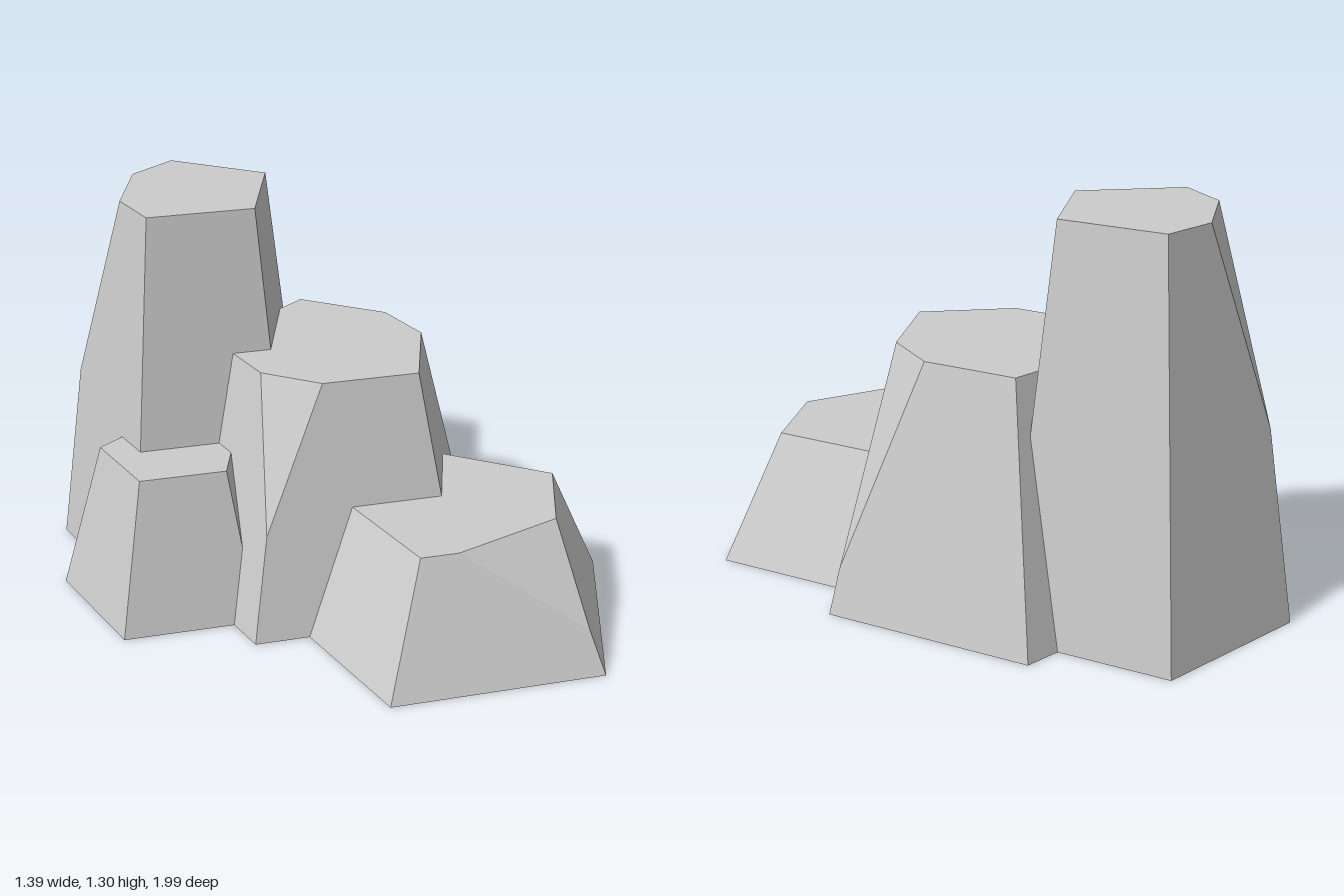
import * as THREE from 'three';
import { ConvexGeometry } from 'three/addons/geometries/ConvexGeometry.js';

const SIDES = 5;
const TOP_SHIFT = 0.014; // tops lean slightly towards the front

// Pentagon ring, corner 0 at the front, then round by the +x side
function ring(x, y, z, r) {
  return Array.from({ length: SIDES }, (_, k) => {
    const a = (k / SIDES) * Math.PI * 2;
    return new THREE.Vector3(x + r * Math.sin(a), y, z + r * Math.cos(a));
  });
}

// Tapered stone column; each chip cuts off one top corner:
// fractions along the edges to the previous corner, next corner and base
function column({ name, x, z, height, base, top, chips = [] }, material) {
  const low = ring(x, 0, z, base);
  const high = ring(x, height, z + TOP_SHIFT, top);
  const points = [...low];
  high.forEach((corner, k) => {
    const chip = chips.find((c) => c.corner === k);
    if (!chip) return points.push(corner);
    const prev = high[(k + SIDES - 1) % SIDES];
    const next = high[(k + 1) % SIDES];
    points.push(
      corner.clone().lerp(prev, chip.prev),
      corner.clone().lerp(next, chip.next),
      corner.clone().lerp(low[k], chip.down)
    );
  });
  const mesh = new THREE.Mesh(new ConvexGeometry(points), material);
  mesh.name = name;
  return mesh;
}

export function createModel() {
  const group = new THREE.Group();
  group.name = 'rockColumns';
  const stone = new THREE.MeshStandardMaterial({ color: 0xcccccc, flatShading: true });

  const columns = [
    {
      name: 'frontRock', x: 0.123, z: 0.394, height: 0.415, base: 0.6, top: 0.38,
      chips: [{ corner: 0, prev: 0.72, next: 0.31, down: 0.66 }],
    },
    {
      name: 'middleRock', x: 0.123, z: -0.16, height: 0.825, base: 0.6, top: 0.38,
      chips: [
        { corner: 1, prev: 0.28, next: 0.3, down: 0.82 },
        { corner: 4, prev: 0.3, next: 0.29, down: 0.575 },
      ],
    },
    {
      name: 'tallRock', x: -0.04, z: -0.62, height: 1.3, base: 0.47, top: 0.297,
      chips: [{ corner: 3, prev: 0.47, next: 0.47, down: 0.51 }],
    },
    { name: 'smallSideRock', x: -0.34, z: -0.437, height: 0.52, base: 0.377, top: 0.24 },
  ];
  for (const spec of columns) group.add(column(spec, stone));
  return group;
}
